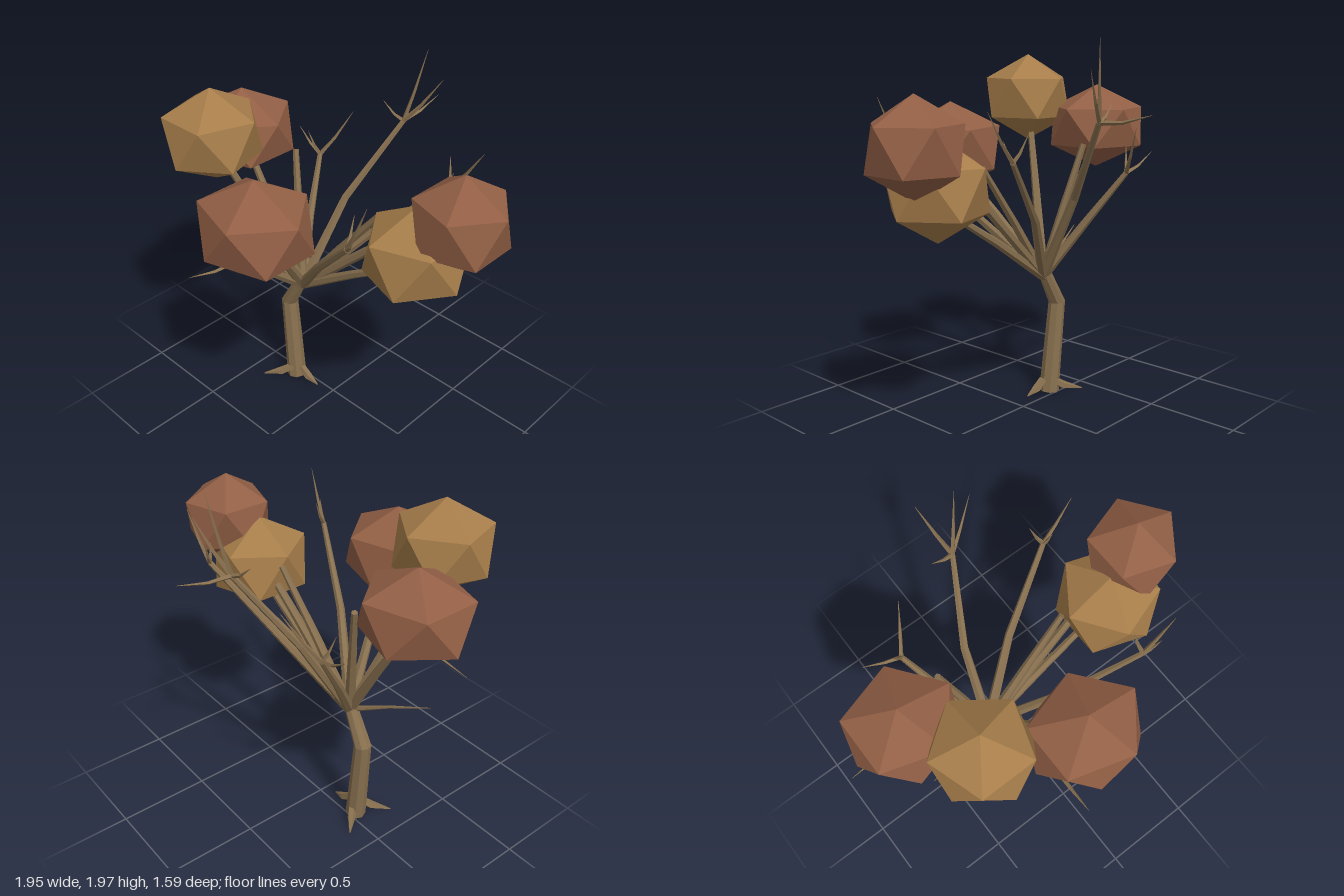
import * as THREE from 'three';

const vec = (x, y, z) => new THREE.Vector3(x, y, z);
const mat = (color) => new THREE.MeshStandardMaterial({ color, flatShading: true });
const bark = mat(0x88704f), brown = mat(0x925f45), gold = mat(0xa67d4a);
const UP = vec(0, 1, 0);

// Tapered faceted limb: one ring per point, capped at both ends
function limb(name, points, radii, sides = 6) {
  const pos = [], idx = [];
  points.forEach((p, i) => {
    const dir = points[Math.min(i + 1, points.length - 1)].clone().sub(points[Math.max(i - 1, 0)]);
    const turn = new THREE.Quaternion().setFromUnitVectors(UP, dir.normalize());
    for (let k = 0; k < sides; k++) {
      const a = (k / sides) * Math.PI * 2;
      const v = vec(Math.cos(a), 0, Math.sin(a)).multiplyScalar(radii[i]).applyQuaternion(turn).add(p);
      pos.push(v.x, v.y, v.z);
    }
  });
  const last = (points.length - 1) * sides;
  for (let a = 0; a < last; a++) {
    const b = a % sides === sides - 1 ? a + 1 - sides : a + 1;
    idx.push(a, a + sides, b, b, a + sides, b + sides);
  }
  for (let k = 1; k < sides - 1; k++) idx.push(0, k, k + 1, last, last + k + 1, last + k);
  const indexed = new THREE.BufferGeometry();
  indexed.setAttribute('position', new THREE.Float32BufferAttribute(pos, 3));
  indexed.setIndex(idx);
  const geometry = indexed.toNonIndexed();
  geometry.computeVertexNormals();
  const mesh = new THREE.Mesh(geometry, bark);
  mesh.name = name;
  return mesh;
}

// Branch from the fork, bowed at its middle
const fork = vec(-0.2, 0.7, 0.035);
function branch(name, tip, start = 0.03, end = 0.016, bow = vec(0, 0.01, 0)) {
  const mid = fork.clone().lerp(tip, 0.5).add(bow);
  return limb(name, [fork, mid, tip], [start, (start + end) / 2, end]);
}

// Bent twig ending in a sharp point
function twig(node, tip) {
  const mid = node.clone().lerp(tip, 0.45);
  mid.y -= 0.015;
  return limb('twig', [node, mid, tip], [0.013, 0.009, 0.001], 4);
}

// Icosahedral leaf clump standing on a corner, turned and fitted to a width, height and depth
function clump(name, material, center, size, yaw) {
  const g = new THREE.IcosahedronGeometry(1, 0);
  g.rotateZ(Math.atan(2 / (1 + Math.sqrt(5)))).rotateY(yaw);
  g.computeBoundingBox();
  const fit = size.clone().divide(g.boundingBox.getSize(vec()));
  g.scale(fit.x, fit.y, fit.z);
  g.computeVertexNormals();
  const mesh = new THREE.Mesh(g, material);
  mesh.name = name;
  mesh.position.copy(center);
  return mesh;
}

export function createModel() {
  const tree = new THREE.Group();
  tree.name = 'tree';

  // Kinked trunk
  tree.add(limb('trunk', [vec(-0.265, 0.01, 0.04), vec(-0.315, 0.53, 0.03), vec(-0.205, 0.73, 0.035)],
    [0.056, 0.047, 0.035], 8));

  // Three roots
  for (const [dx, dz] of [[1, 0], [-1, 1], [-1, -1]]) {
    const at = (reach, y) => vec(-0.235 + dx * reach, y, 0.045 + dz * reach);
    tree.add(limb('root', [at(0.02, 0.085), at(0.075, 0.045), at(0.15, 0.025)], [0.022, 0.024, 0.003], 5));
  }

  // Bare crown branches, each ending in a few twigs
  const crownBranch = (name, node, bow, ...tips) => {
    tree.add(branch(name, node, 0.03, 0.014, bow));
    for (const tip of tips) tree.add(twig(node, tip));
  };
  crownBranch('backBranch', vec(0.025, 1.58, -0.5), vec(-0.045, 0.03, 0),
    vec(0.02, 1.63, -0.79), vec(0.11, 1.97, -0.56), vec(0.2, 1.83, -0.58), vec(-0.1, 1.66, -0.48));
  crownBranch('backLeftBranch', vec(0.46, 1.42, -0.35), vec(-0.02, 0.02, -0.02),
    vec(0.63, 1.66, -0.36), vec(0.41, 1.55, -0.4), vec(0.49, 1.52, -0.32));
  crownBranch('frontLeftBranch', vec(0.47, 1.42, 0.4), vec(0, 0.02, 0.03),
    vec(0.6, 1.69, 0.42), vec(0.45, 1.56, 0.33), vec(0.54, 1.53, 0.43));
  crownBranch('backRightBranch', vec(-0.43, 1.28, -0.34), vec(-0.01, 0.01, 0),
    vec(-0.31, 1.53, -0.48), vec(-0.62, 1.38, -0.37), vec(-0.48, 1.42, -0.3));
  crownBranch('frontBranch', vec(-0.15, 1.12, 0.54), vec(0, 0.01, 0),
    vec(-0.16, 1.16, 0.8), vec(-0.13, 1.2, 0.5));
  tree.add(branch('lowTwig', vec(-0.64, 0.9, 0.17), 0.016, 0.002));

  // Branches carrying the leaf clumps, and two blunt stumps
  const rightNode = vec(-0.62, 1.4, 0.02);
  tree.add(
    branch('rightClumpBranch', rightNode),
    twig(rightNode, vec(-0.96, 1.32, 0.03)),
    branch('frontRightClumpBranch', vec(-0.44, 1.55, 0.35)),
    branch('frontClumpBranch', vec(0.04, 1.35, 0.52)),
    branch('lowerLeftClumpBranch', vec(0.55, 1.18, 0.03)),
    branch('upperLeftClumpBranch', vec(0.7, 1.52, -0.03)),
    branch('leftStump', vec(0.31, 1.35, -0.01)),
    branch('rightStump', vec(-0.37, 1.42, -0.1)),
  );

  // Leaf clumps
  tree.add(
    clump('rightClump', brown, vec(-0.64, 1.495, 0.02), vec(0.54, 0.46, 0.49), Math.PI),
    clump('frontRightClump', gold, vec(-0.45, 1.65, 0.37), vec(0.45, 0.48, 0.48), -Math.PI / 2),
    clump('frontClump', brown, vec(0.015, 1.39, 0.525), vec(0.57, 0.5, 0.49), Math.PI),
    clump('upperLeftClump', brown, vec(0.76, 1.485, -0.035), vec(0.46, 0.49, 0.43), Math.PI),
    clump('lowerLeftClump', gold, vec(0.57, 1.27, 0.035), vec(0.5, 0.52, 0.49), 0),
  );
  return tree;
}
